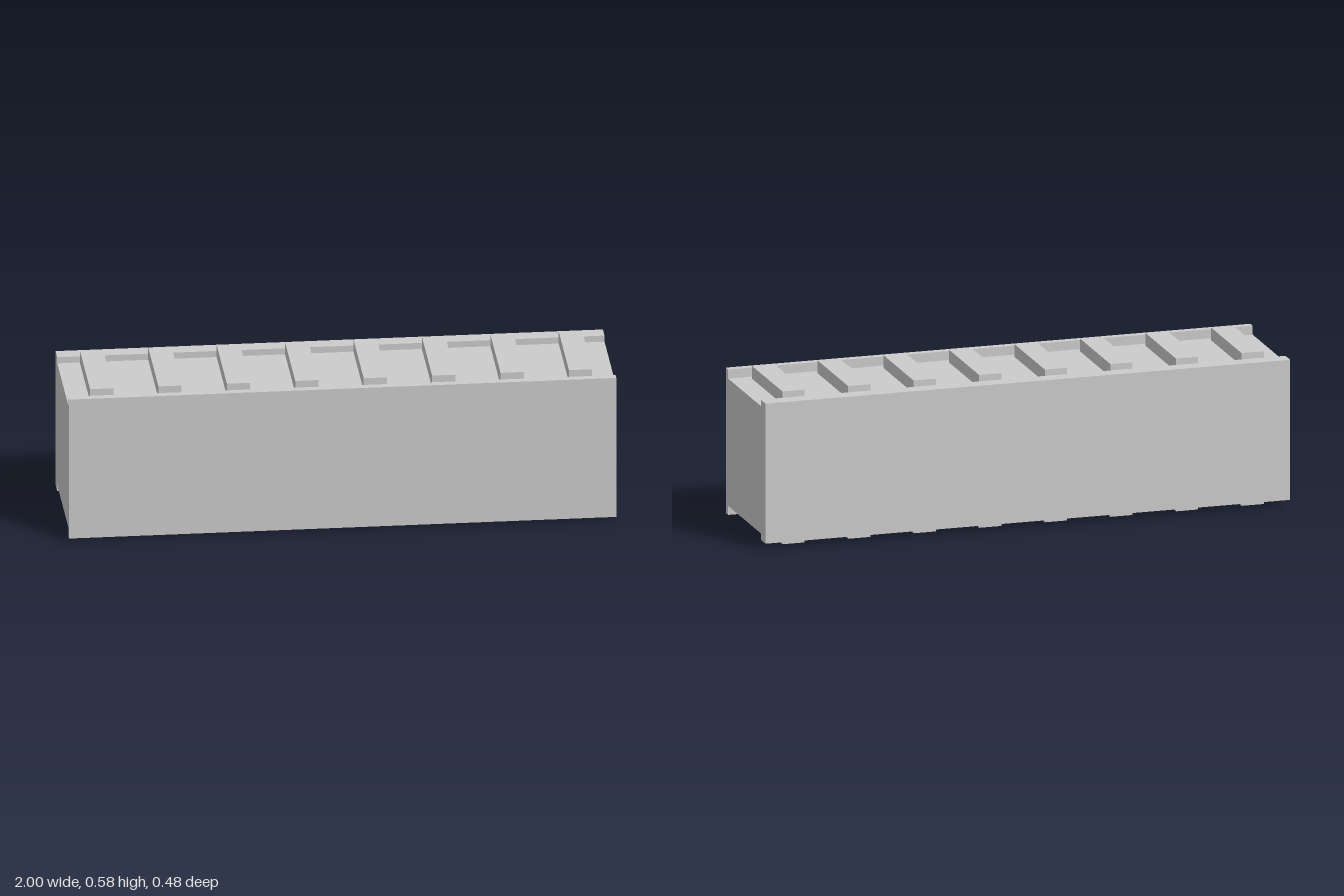
import * as THREE from 'three';

const MID = 0.289; // mid height; top and bottom mirror each other

export function createModel() {
  const group = new THREE.Group();
  const material = new THREE.MeshStandardMaterial({ color: 0xcccccc, flatShading: true });

  // Beam: constant cross-section (z, half height) mirrored about the mid height
  const upper = [
    [0.241, 0.274], [0.213, 0.274], [0.213, 0.24],
    [-0.182, 0.24], [-0.182, 0.264], [-0.24, 0.264],
  ];
  const outline = [
    ...upper.map(([z, h]) => new THREE.Vector2(z, MID + h)),
    ...upper.map(([z, h]) => new THREE.Vector2(z, MID - h)).reverse(),
  ];
  const beamGeometry = new THREE.ExtrudeGeometry(new THREE.Shape(outline), { depth: 2, bevelEnabled: false });
  beamGeometry.translate(0, 0, -1).rotateY(-Math.PI / 2);
  const beam = new THREE.Mesh(beamGeometry, material);
  beam.name = 'beam';
  group.add(beam);

  // Cross slats: eight along the top, eight along the underside
  const slatGeometry = new THREE.BoxGeometry(0.085, 0.048, 0.366);
  for (const side of [1, -1]) {
    const row = new THREE.Group();
    row.name = side > 0 ? 'topSlats' : 'bottomSlats';
    for (let i = 0; i < 8; i++) {
      const slat = new THREE.Mesh(slatGeometry, material);
      slat.name = 'slat';
      slat.position.set(-0.875 + i * 0.25, MID + side * 0.264, 0.001);
      row.add(slat);
    }
    group.add(row);
  }
  return group;
}
